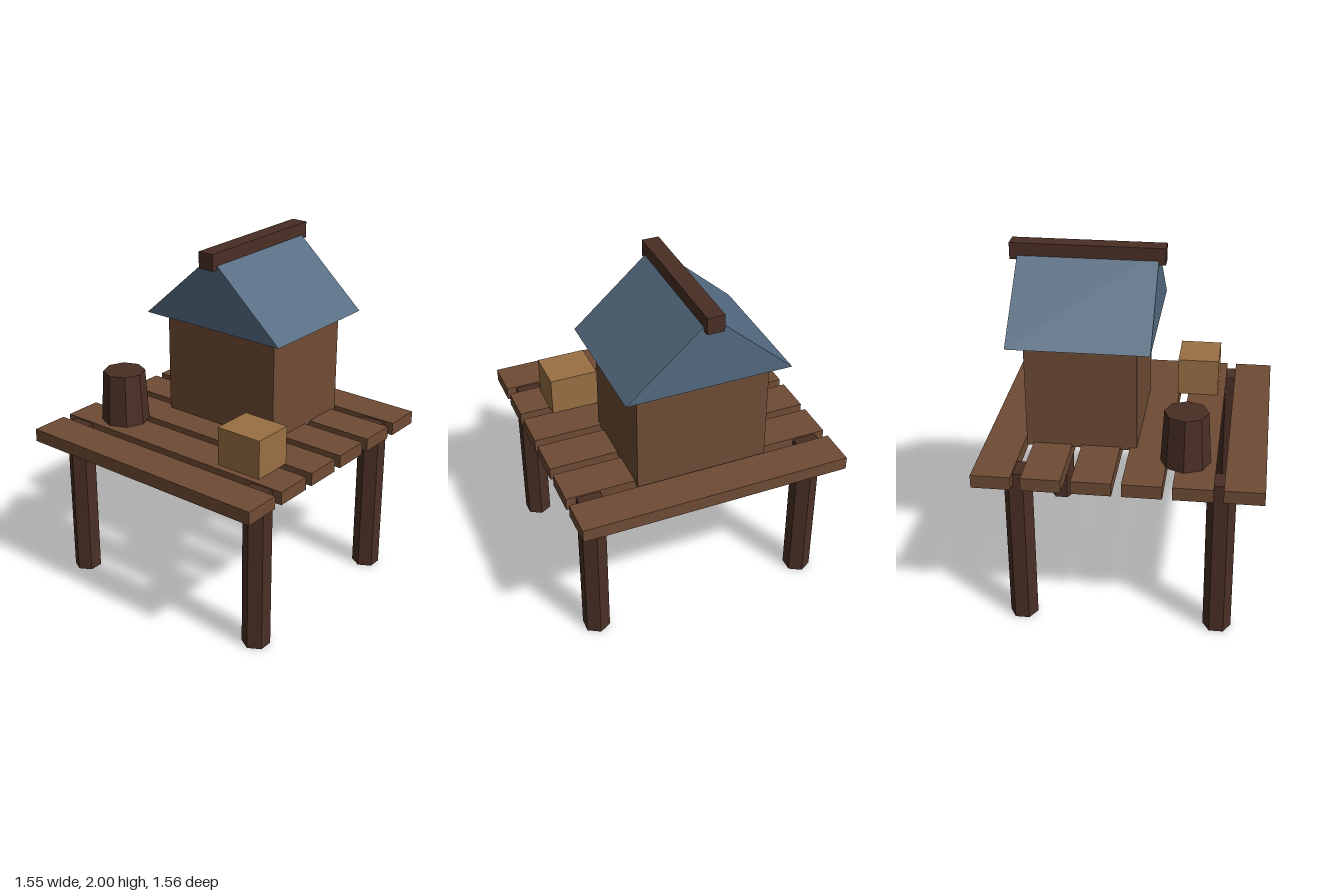
import * as THREE from 'three';

export function createModel() {
  const group = new THREE.Group();
  const material = (name, color) => {
    const m = new THREE.MeshStandardMaterial({ color, flatShading: true });
    m.name = name;
    return m;
  };
  const wood = material('wood', 0x6f4c35);
  const darkWood = material('dark wood', 0x4a2f25);
  const paleWood = material('pale wood', 0x9a7044);
  const slate = material('slate blue', 0x536a80);

  const add = (name, geometry, mat, x, y, z) => {
    const mesh = new THREE.Mesh(geometry, mat);
    mesh.name = name;
    mesh.position.set(x, y, z);
    group.add(mesh);
  };
  const box = (name, mat, w, h, d, x, y, z) =>
    add(name, new THREE.BoxGeometry(w, h, d), mat, x, y, z);

  // Hexagonal stilts
  for (const x of [-0.648, 0.648])
    for (const z of [-0.55, 0.55])
      add('stilt', new THREE.CylinderGeometry(0.079, 0.079, 0.945, 6), darkWood, x, 0.4725, z);

  // Deck planks with gaps
  for (let i = 0; i < 6; i++)
    box('deckPlank', wood, 1.546, 0.075, 0.217, 0, 0.916, (i - 2.5) * 0.2695);

  // Hut walls
  box('hutWalls', wood, 0.756, 0.62, 0.615, 0, 1.248, -0.243);

  // Gable roof, a closed prism
  const gable = new THREE.Shape([
    new THREE.Vector2(-0.467, 0),
    new THREE.Vector2(0.467, 0),
    new THREE.Vector2(0, 0.415),
  ]);
  add('roof', new THREE.ExtrudeGeometry(gable, { depth: 0.778, bevelEnabled: false }),
    slate, 0, 1.555, -0.633);
  box('ridgeBeam', darkWood, 0.096, 0.095, 0.858, 0, 1.9525, -0.246);

  // Goods on the deck
  add('barrel', new THREE.CylinderGeometry(0.12, 0.138, 0.3, 8), darkWood, -0.481, 1.103, 0.343);
  box('crate', paleWood, 0.277, 0.222, 0.24, 0.458, 1.064, 0.353);

  return group;
}
